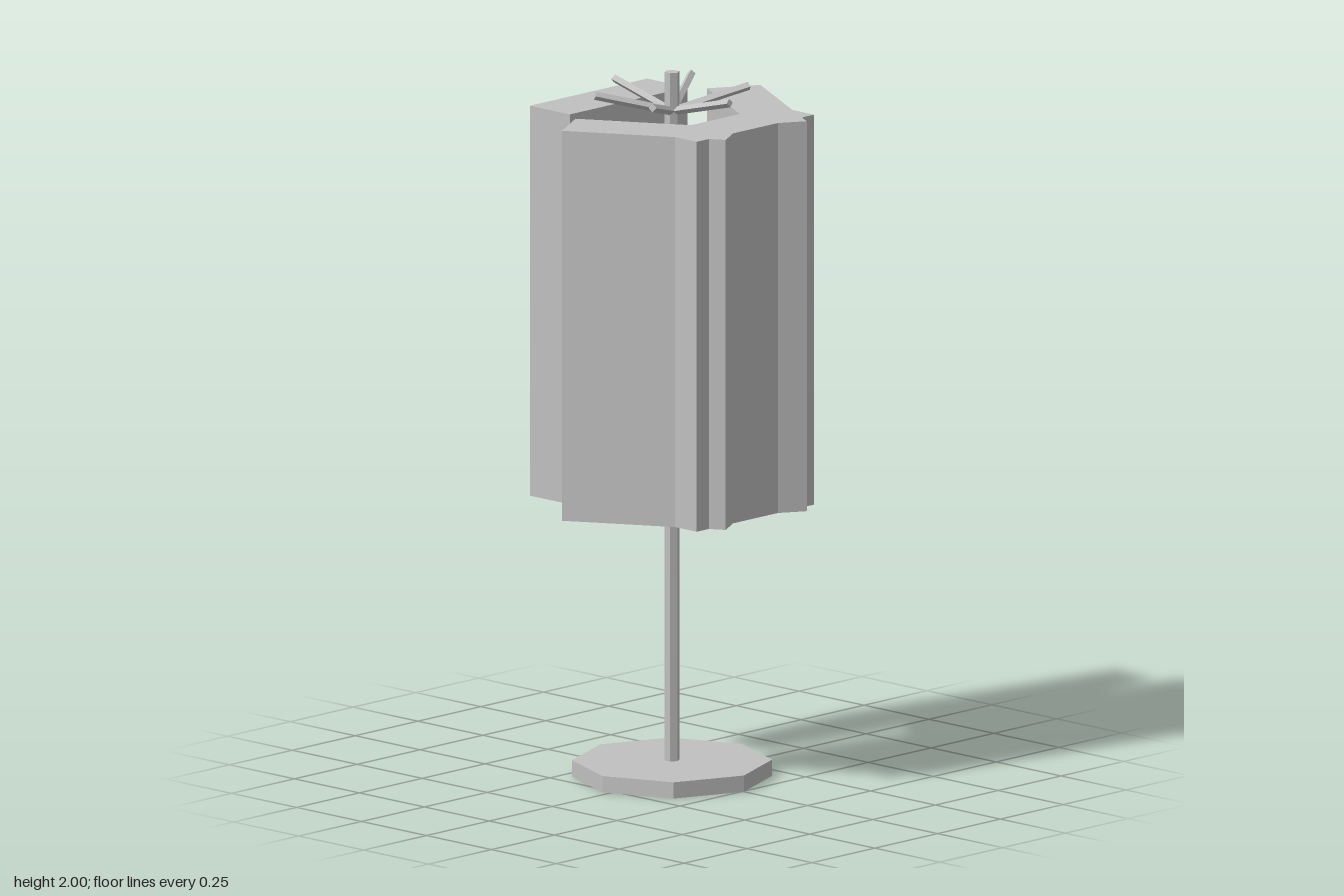
import * as THREE from 'three';

const AXIS_Z = -0.022; // pole position

export function createModel() {
  const model = new THREE.Group();
  model.name = 'panelStand';
  const grey = new THREE.MeshStandardMaterial({ color: 0xc0c0c0 });
  grey.name = 'plainGrey';

  const stand = new THREE.Group();
  stand.name = 'stand';
  stand.position.z = AXIS_Z;
  model.add(stand);

  // faceted prism with flat normals
  const prism = (radius, height, sides) => {
    const g = new THREE.CylinderGeometry(radius, radius, height, sides).toNonIndexed();
    g.computeVertexNormals();
    return g;
  };
  const add = (name, geometry) => {
    const mesh = new THREE.Mesh(geometry, grey);
    mesh.name = name;
    stand.add(mesh);
    return mesh;
  };

  // octagonal foot and hexagonal pole
  add('base', prism(0.277, 0.046, 8)).position.y = 0.023;
  add('pole', prism(0.021, 1.96, 6)).position.y = 1.02;

  // six rising arms, each with a ridge on top
  const up = new THREE.Vector3(0, 1, 0);
  for (let i = 0; i < 6; i++) {
    const a = (i * Math.PI) / 3;
    const rise = 0.058, reach = 0.222;
    const length = Math.hypot(rise, reach);
    const arm = add('arm', prism(0.0118, length, 4));
    arm.rotation.order = 'YXZ';
    arm.rotation.set(Math.atan2(reach, rise), a, 0);
    const dir = up.clone().applyEuler(arm.rotation);
    arm.position.set(0, 1.888, 0).addScaledVector(dir, length / 2);
  }

  // four hanging panels: front, the two front sides, and back
  for (const [name, degrees] of [
    ['frontPanel', 0], ['leftPanel', 60], ['rightPanel', -60], ['backPanel', 180],
  ]) {
    const a = THREE.MathUtils.degToRad(degrees);
    const panel = add(name, new THREE.BoxGeometry(0.467, 1.107, 0.154));
    panel.position.set(Math.sin(a) * 0.244, 1.337, Math.cos(a) * 0.244);
    panel.rotation.y = a;
  }
  return model;
}
